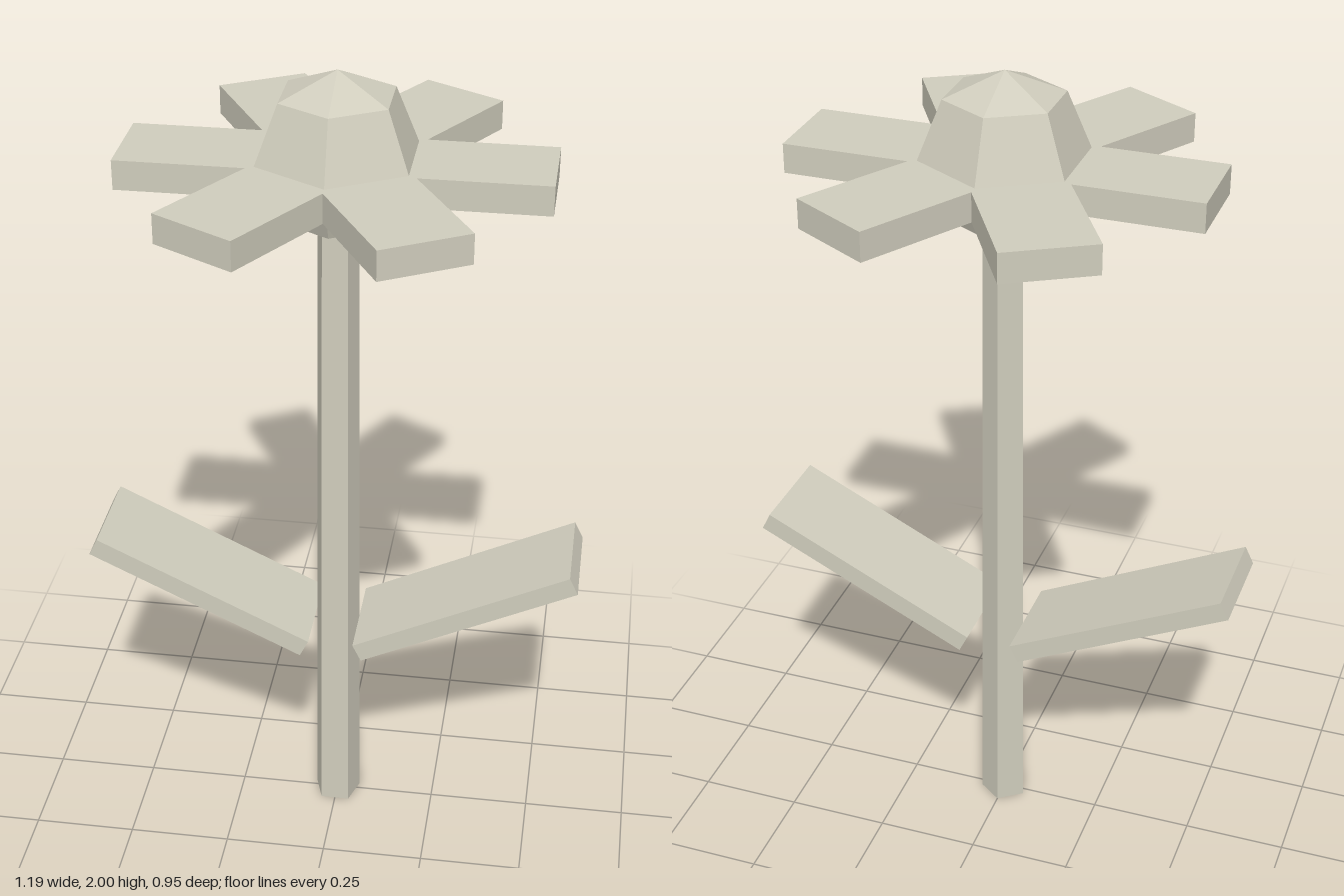
import * as THREE from 'three';

export function createModel() {
  const group = new THREE.Group();
  const cream = new THREE.MeshStandardMaterial({ color: 0xd0cdbd, flatShading: true });
  cream.name = 'cream';

  const add = (name, geometry, parent = group) => {
    const mesh = new THREE.Mesh(geometry, cream);
    mesh.name = name;
    parent.add(mesh);
    return mesh;
  };

  // Five-sided tapering stem, flat side to the front
  const stemHeight = 1.68;
  const stem = add('stem', new THREE.CylinderGeometry(0.05, 0.06, stemHeight, 5));
  stem.rotation.y = Math.PI;
  stem.position.y = stemHeight / 2;

  // Six-sided flower centre with a corner to the front
  const centre = add('flowerCentre', new THREE.SphereGeometry(0.197, 6, 4));
  centre.rotation.y = Math.PI / 2;
  centre.position.y = 1.803;

  // Ring of six flat petals
  const petals = new THREE.Group();
  petals.name = 'petals';
  petals.position.y = 1.77;
  group.add(petals);
  const inner = 0.11, outer = 0.486;
  for (let i = 0; i < 6; i++) {
    const geometry = new THREE.BoxGeometry(outer - inner, 0.07, 0.217);
    geometry.translate((inner + outer) / 2, 0, 0);
    add('petal', geometry, petals).rotation.y = (i * Math.PI) / 3;
  }

  // Two leaves rising away from the stem
  for (const side of [1, -1]) {
    const leaf = add(side > 0 ? 'leftLeaf' : 'rightLeaf', new THREE.BoxGeometry(0.578, 0.048, 0.25));
    leaf.position.set(side * 0.326, 0.662, 0);
    leaf.rotation.z = side * THREE.MathUtils.degToRad(25.8);
  }

  return group;
}
